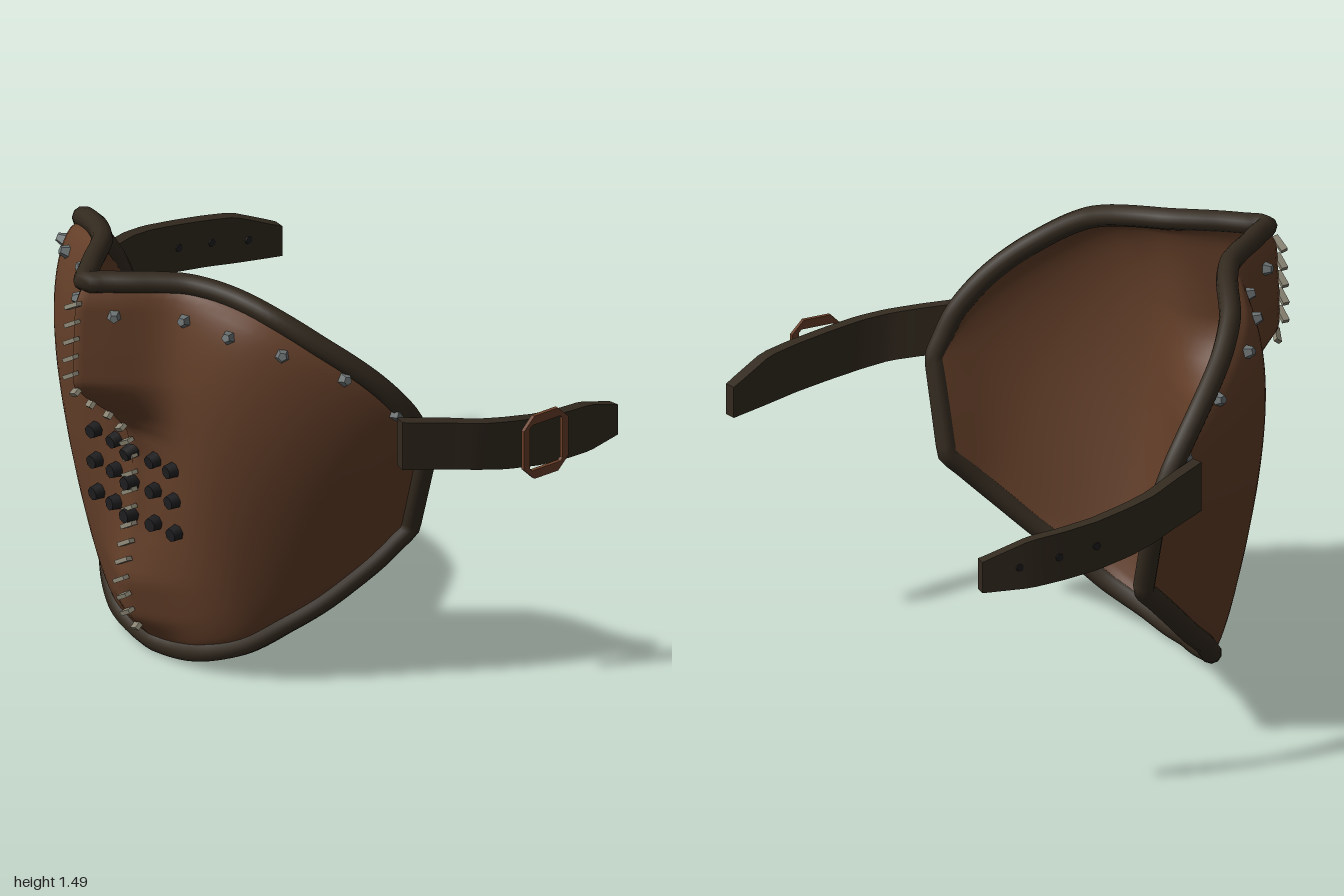
import * as THREE from 'three';

const V = (x, y, z) => new THREE.Vector3(x, y, z);
const mat = (name, color, side = THREE.FrontSide) => {
  const m = new THREE.MeshStandardMaterial({ color, side });
  m.name = name;
  return m;
};

// Upper and lower edges of the left half, from the centre to the side
const topEdge = new THREE.CatmullRomCurve3([
  V(0, 1.453, 0.73), V(0.1, 1.453, 0.62), V(0.22, 1.447, 0.48), V(0.36, 1.425, 0.395), V(0.5, 1.38, 0.33),
  V(0.62, 1.29, 0.23), V(0.72, 1.16, 0.09), V(0.772, 1.01, -0.03), V(0.78, 0.86, -0.1)]);
const lowEdge = new THREE.CatmullRomCurve3([
  V(0, 0.035, 0.43), V(0.1, 0.04, 0.42), V(0.22, 0.065, 0.4), V(0.36, 0.125, 0.33), V(0.46, 0.21, 0.25),
  V(0.54, 0.29, 0.16), V(0.6, 0.37, 0.08), V(0.65, 0.45, 0), V(0.69, 0.55, -0.1)]);
// Centre line profile: [y, z]
const profile = [[1.46, 0.73], [1.38, 0.775], [1.2, 0.785], [1.08, 0.785], [1.02, 0.73], [0.92, 0.61],
  [0.85, 0.555], [0.75, 0.53], [0.5, 0.535], [0.3, 0.57], [0.15, 0.535], [0.03, 0.43]];

// Piecewise linear lookup in rows sorted by a falling first column
function lookup(rows, key, col) {
  let i = 0;
  while (i < rows.length - 2 && key < rows[i + 1][0]) i++;
  const a = rows[i], b = rows[i + 1];
  return THREE.MathUtils.lerp(a[col], b[col], THREE.MathUtils.clamp((key - a[0]) / (b[0] - a[0]), 0, 1));
}

// Mask surface: u from right side (-1) to left side (1), v from top to bottom
function surface(u, v) {
  const a = Math.abs(u);
  const p = topEdge.getPoint(a).lerp(lowEdge.getPoint(a), v);
  const yc = THREE.MathUtils.lerp(1.453, 0.035, v);
  const nose = lookup(profile, yc, 1) - THREE.MathUtils.lerp(0.73, 0.43, v);
  const arch = Math.max(0, Math.sin(Math.PI * v)) ** 0.45;
  const swell = THREE.MathUtils.lerp(0.21, 0.11, v) * arch;
  const cheek = swell * THREE.MathUtils.smoothstep(p.x, 0, 0.42) * (1 - a ** 7);
  p.z += nose * Math.exp(-((p.x / 0.17) ** 2)) + cheek;
  if (u < 0) p.x = -p.x;
  return p;
}

// Surface point with the given x and y
function at(x, y) {
  let lo = 0, hi = 1, v = 0;
  for (let i = 0; i < 24; i++) {
    const u = (lo + hi) / 2;
    const t = topEdge.getPoint(u), b = lowEdge.getPoint(u);
    v = THREE.MathUtils.clamp((t.y - y) / (t.y - b.y), 0, 1);
    if (THREE.MathUtils.lerp(t.x, b.x, v) < Math.abs(x)) lo = u; else hi = u;
  }
  return surface(x < 0 ? -lo : lo, v);
}

function normalAt(x, y) {
  const e = 0.015;
  const dx = at(x + e, y).sub(at(x - e, y)), dy = at(x, y + e).sub(at(x, y - e));
  return dx.cross(dy).normalize();
}

// One leather layer, sunk behind the surface by the given depth
function shellGeometry(depth) {
  const g = new THREE.PlaneGeometry(1, 1, 64, 56);
  const pos = g.attributes.position;
  for (let i = 0; i < pos.count; i++) {
    const p = surface(pos.getX(i) * 2, 0.5 - pos.getY(i));
    pos.setXYZ(i, p.x, p.y, p.z);
  }
  g.computeVertexNormals();
  const n = g.attributes.normal;
  for (let i = 0; i < pos.count; i++) {
    pos.setXYZ(i, pos.getX(i) - n.getX(i) * depth, pos.getY(i) - n.getY(i) * depth, pos.getZ(i) - n.getZ(i) * depth);
  }
  g.computeVertexNormals();
  return g;
}

// Closed path around the whole edge
function rimPath() {
  const pts = [], n = 16, sides = [0.05, 0.3, 0.7, 0.95];
  for (let i = -n; i <= n; i++) pts.push(surface(i / n, 0));
  for (const v of sides) pts.push(surface(1, v));
  for (let i = n; i >= -n; i--) pts.push(surface(i / n, 1));
  for (const v of sides) pts.push(surface(-1, 1 - v));
  return new THREE.CatmullRomCurve3(pts, true);
}

// Strap sections: [z, x, lower y, upper y]
const strapRows = [[0.04, 0.81, 0.855, 1.03], [-0.1, 0.875, 0.84, 1.012], [-0.2, 0.923, 0.825, 0.995],
  [-0.3, 0.946, 0.805, 0.98], [-0.43, 0.955, 0.783, 0.957], [-0.55, 0.948, 0.768, 0.94],
  [-0.66, 0.93, 0.755, 0.925], [-0.82, 0.883, 0.75, 0.86]];

function strapGeometry() {
  const g = new THREE.BoxGeometry(1, 1, 1, 24, 1, 1);
  const pos = g.attributes.position;
  for (let i = 0; i < pos.count; i++) {
    const z = THREE.MathUtils.lerp(0.04, -0.82, pos.getX(i) + 0.5);
    const slope = (lookup(strapRows, z + 0.03, 1) - lookup(strapRows, z - 0.03, 1)) / 0.06;
    const out = V(1, 0, -slope).normalize().multiplyScalar(pos.getZ(i) * 0.042);
    const y = THREE.MathUtils.lerp(lookup(strapRows, z, 2), lookup(strapRows, z, 3), pos.getY(i) + 0.5);
    pos.setXYZ(i, lookup(strapRows, z, 1) + out.x, y, z + out.z);
  }
  g.computeVertexNormals();
  return g;
}

export function createModel() {
  const model = new THREE.Group();
  model.name = 'halfMask';
  const leather = mat('brown leather', 0x643f29, THREE.DoubleSide);
  const trim = mat('dark leather', 0x332a1f);
  const steel = mat('grey metal', 0x6c7273);
  const thread = mat('pale thread', 0x8a8574);
  const black = mat('black', 0x1e1e20);
  const copper = mat('copper', 0x6b3f28);
  const group = (name, parent) => {
    const g = new THREE.Group();
    g.name = name;
    parent.add(g);
    return g;
  };
  // The buckle stands out on one side, so the mask sits slightly to the other
  const mask = group('mask', model);
  mask.position.x = -0.009;
  const add = (name, geometry, material, parent = mask) => {
    const m = new THREE.Mesh(geometry, material);
    m.name = name;
    parent.add(m);
    return m;
  };
  const addOutward = (name, geometry, material, parent, x, y, lift) => {
    const n = normalAt(x, y), m = add(name, geometry, material, parent);
    m.position.copy(at(x, y)).addScaledVector(n, lift);
    m.quaternion.setFromUnitVectors(V(0, 0, 1), n);
  };

  // Outer leather, inner lining and rolled edge
  add('maskShell', shellGeometry(0), leather);
  add('lining', shellGeometry(0.03), leather);
  add('rim', new THREE.TubeGeometry(rimPath(), 220, 0.037, 10, true), trim);

  // Studs below the upper edge
  const studs = group('studs', mask);
  const studGeo = new THREE.CylinderGeometry(0.015, 0.026, 0.03, 5).rotateX(Math.PI / 2).toNonIndexed();
  studGeo.computeVertexNormals();
  for (const [x, y] of [[0.09, 1.34], [0.265, 1.34], [0.425, 1.32], [0.575, 1.275], [0.695, 1.18], [0.765, 1.03]]) {
    for (const s of [-1, 1]) addOutward('stud', studGeo, steel, studs, s * x, y, 0.012);
  }

  // Breathing vents
  const vents = group('vents', mask);
  const ventGeo = new THREE.CylinderGeometry(0.024, 0.029, 0.045, 7).rotateX(Math.PI / 2);
  for (const y of [0.765, 0.65, 0.53]) {
    for (let i = -2; i <= 2; i++) addOutward('vent', ventGeo, black, vents, i * 0.102, y, 0.012);
  }

  // Slanted stitches along the centre seam
  const stitches = group('stitches', mask);
  const stitchGeo = new THREE.BoxGeometry(0.064, 0.015, 0.024).rotateZ(0.55);
  for (let i = 0; i < 21; i++) {
    const y = 1.375 - i * 0.063;
    const dz = (lookup(profile, y + 0.03, 1) - lookup(profile, y - 0.03, 1)) / 0.06;
    const n = V(0, -dz, 1).normalize(), m = add('stitch', stitchGeo, thread, stitches);
    m.position.set(0, y, lookup(profile, y, 1)).addScaledVector(n, 0.01);
    m.quaternion.setFromUnitVectors(V(0, 0, 1), n);
  }

  // Side straps
  const strapGeo = strapGeometry();
  add('leftStrap', strapGeo, trim);
  add('rightStrap', strapGeo, trim).scale.x = -1;

  // Holes in the right strap
  const holeGeo = new THREE.CylinderGeometry(0.014, 0.014, 0.05, 8).rotateZ(Math.PI / 2);
  for (const z of [-0.43, -0.565, -0.7]) {
    const y = (lookup(strapRows, z, 2) + lookup(strapRows, z, 3)) / 2;
    add('strapHole', holeGeo, black).position.set(-lookup(strapRows, z, 1), y, z);
  }

  // Buckle frame on the left strap
  const outline = (w, h, c) => [[-w, -h + c], [-w + c, -h], [w - c, -h], [w, -h + c],
    [w, h - c], [w - c, h], [-w + c, h], [-w, h - c]].map(([x, y]) => new THREE.Vector2(x, y));
  const frame = new THREE.Shape(outline(0.096, 0.116, 0.045));
  frame.holes.push(new THREE.Path(outline(0.07, 0.084, 0.01)));
  const buckle = add('buckle', new THREE.ExtrudeGeometry(frame, { depth: 0.014, bevelEnabled: false }), copper);
  buckle.rotation.y = Math.PI / 2;
  buckle.position.set(0.993, 0.875, -0.43);

  return model;
}
